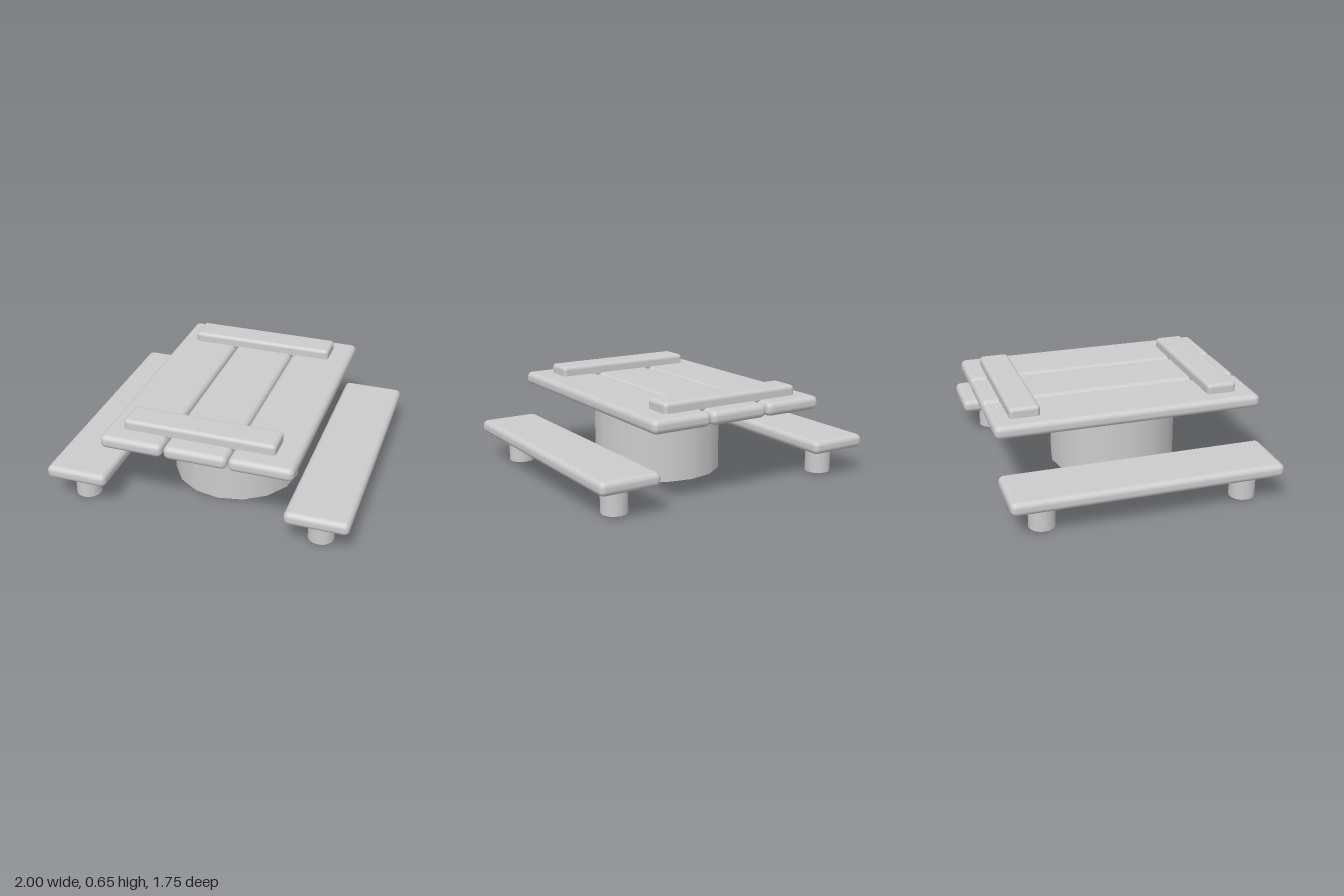
import * as THREE from 'three';
import { RoundedBoxGeometry } from 'three/addons/geometries/RoundedBoxGeometry.js';

const material = new THREE.MeshStandardMaterial({ color: 0xcccccc });

export function createModel() {
  const model = new THREE.Group();

  function add(name, geometry, x, y, z) {
    const mesh = new THREE.Mesh(geometry, material);
    mesh.name = name;
    mesh.position.set(x, y, z);
    model.add(mesh);
  }

  // Drum pedestal, standing slightly off centre
  const drumHeight = 0.52;
  add('pedestal', new THREE.CylinderGeometry(0.43, 0.43, drumHeight, 16), 0.04, drumHeight / 2, 0.06);

  // Three table planks side by side
  const plank = new RoundedBoxGeometry(0.41, 0.088, 1.75, 3, 0.036);
  for (const x of [-0.395, 0.025, 0.44]) add('tablePlank', plank, x, 0.54, 0);

  // Cross battens lying on the planks
  const batten = new RoundedBoxGeometry(0.99, 0.09, 0.198, 3, 0.026);
  for (const z of [-0.663, 0.648]) add('crossBatten', batten, 0.005, 0.604, z);

  // Benches: one plank on two round legs, either side of the table
  const legHeight = 0.21;
  const leg = new THREE.CylinderGeometry(0.085, 0.085, legHeight, 16);
  for (const [side, seatX, legX] of [['left', 0.793, 0.79], ['right', -0.795, -0.805]]) {
    add(side + 'BenchSeat', plank, seatX, 0.228, 0);
    for (const z of [-0.653, 0.675]) add(side + 'BenchLeg', leg, legX, legHeight / 2, z);
  }

  return model;
}
